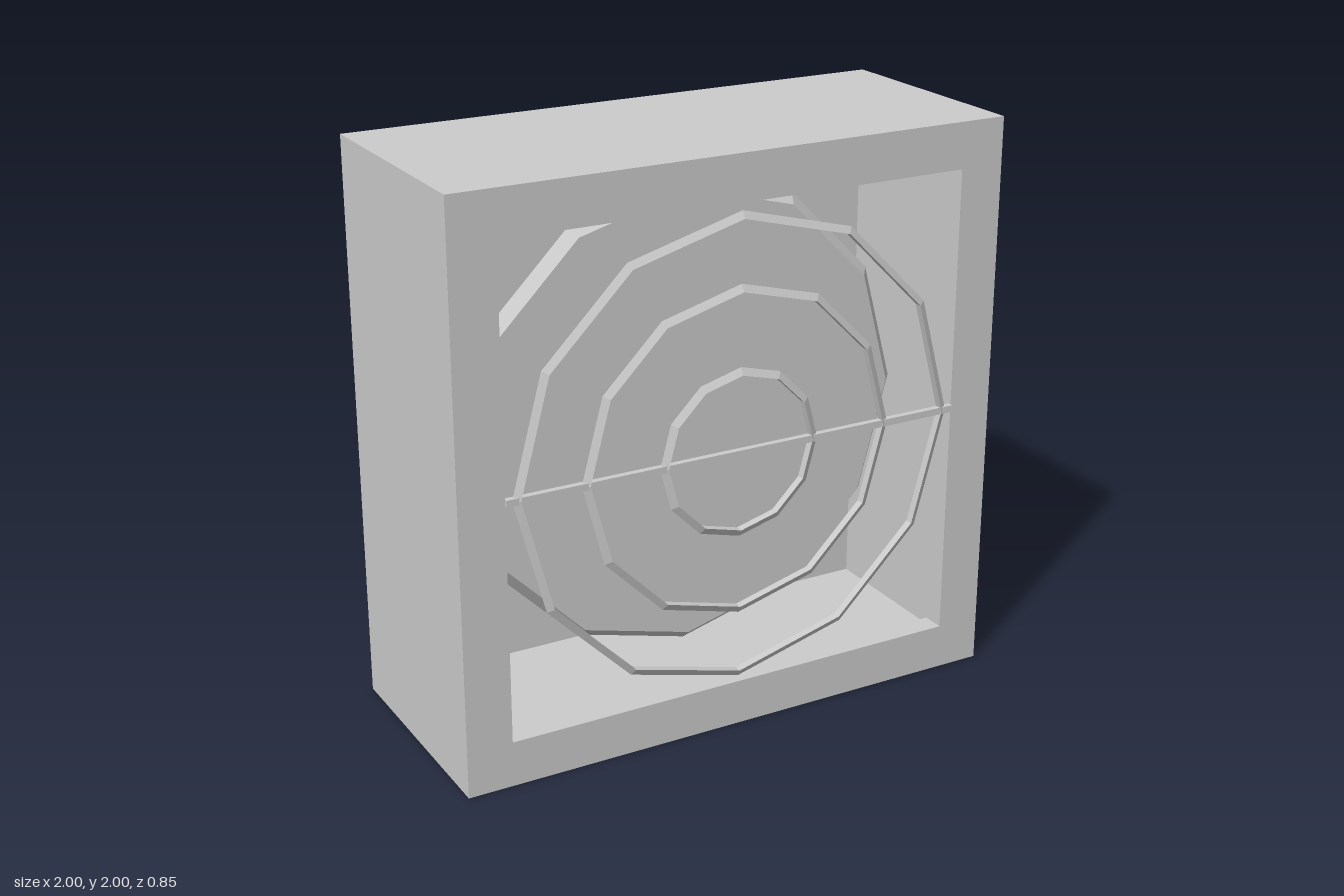
import * as THREE from 'three';

const material = new THREE.MeshStandardMaterial({ color: 0xcccccc, flatShading: true, side: THREE.DoubleSide });

function add(group, name, geometry, x, y, z) {
  const mesh = new THREE.Mesh(geometry, material);
  mesh.name = name;
  mesh.position.set(x, y, z);
  group.add(mesh);
  return mesh;
}

// Square outline, half-size h, centred on the origin
function square(Type, h) {
  return new Type([[-h, -h], [h, -h], [h, h], [-h, h]].map(([x, y]) => new THREE.Vector2(x, y)));
}

// Square frame with a square opening, extruded towards +z
function squareFrame(outer, inner, depth) {
  const shape = square(THREE.Shape, outer);
  shape.holes.push(square(THREE.Path, inner));
  return new THREE.ExtrudeGeometry(shape, { depth, bevelEnabled: false });
}

export function createModel() {
  const group = new THREE.Group();
  group.name = 'boxWithRoundGrille';
  const back = -0.425, front = 0.41, plate = 0.08, wall = 0.008;

  // Hollow housing: thin side walls, back panel and thicker front frame
  add(group, 'sideWalls', squareFrame(1, 1 - wall, front - plate - back - wall), 0, 1, back + wall);
  add(group, 'backPanel', new THREE.BoxGeometry(2, 2, wall), 0, 1, back + wall / 2);
  add(group, 'frontFrame', squareFrame(1, 0.84, plate), 0, 1, front - plate);

  // Twelve-sided disc with a sloped rim, inside the housing
  const disc = new THREE.CylinderGeometry(0.805, 0.84, 0.04, 12);
  disc.rotateX(Math.PI / 2);
  add(group, 'innerDisc', disc, 0, 1, 0.05);

  // Grille: three triangular-section rings and a cross bar
  for (const radius of [0.8, 0.56, 0.28]) {
    add(group, 'grilleRing', new THREE.TorusGeometry(radius, 0.0165, 3, 12), 0, 1, front);
  }
  add(group, 'grilleBar', new THREE.BoxGeometry(1.68, 0.024, 0.022), 0, 1, front);

  return group;
}
